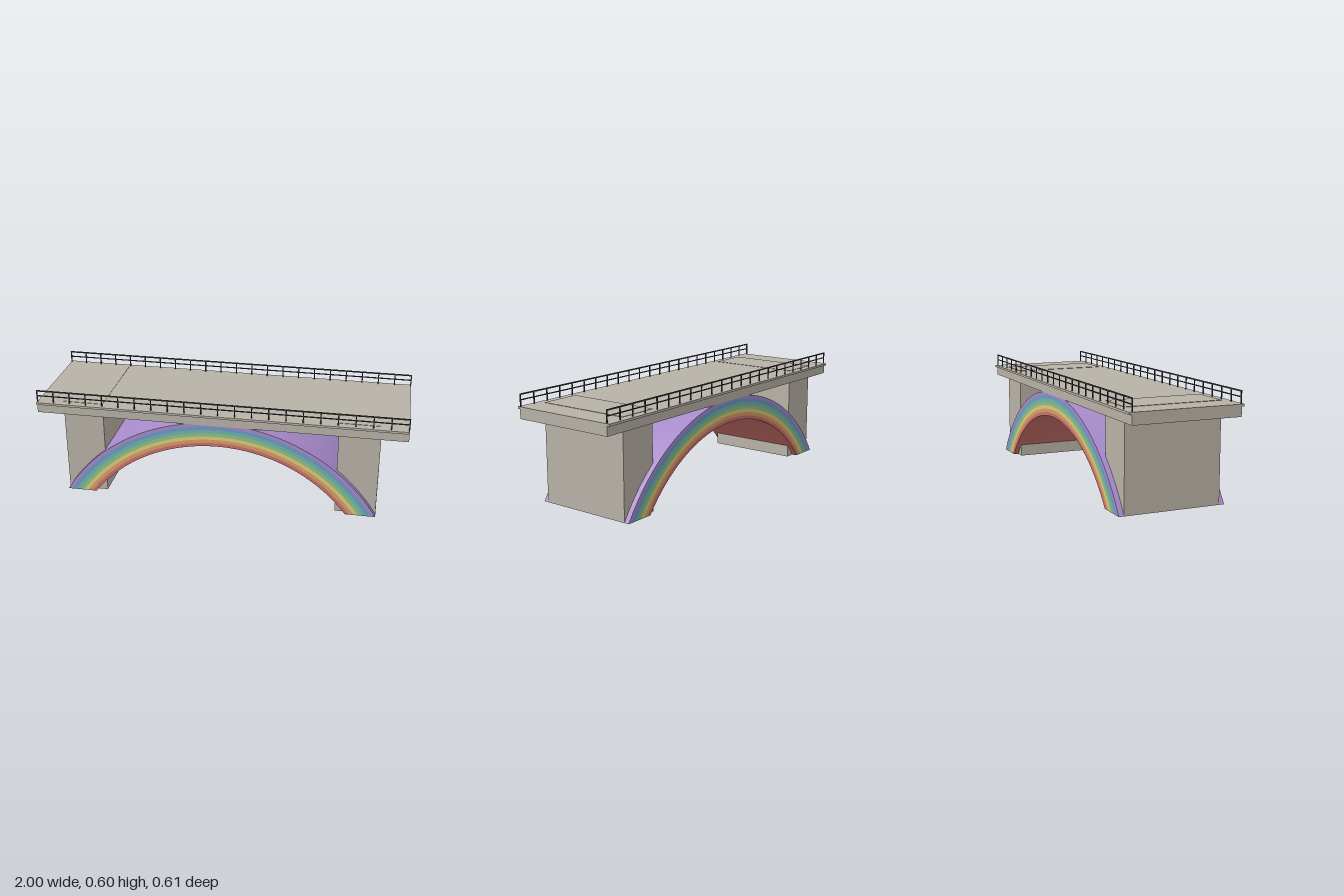
import * as THREE from 'three';

const material = (name, color) => {
  const m = new THREE.MeshStandardMaterial({ color });
  m.name = name;
  return m;
};

export function createModel() {
  const bridge = new THREE.Group();
  bridge.name = 'archBridge';
  const concrete = material('concrete', 0xb8b2a7);
  const railMetal = material('darkRailMetal', 0x3a3d40);

  const box = (parent, name, mat, size, pos) => {
    const mesh = new THREE.Mesh(new THREE.BoxGeometry(...size), mat);
    mesh.name = name;
    mesh.position.set(...pos);
    parent.add(mesh);
  };

  // Deck slab with a thin overhanging edge
  box(bridge, 'deckSlab', concrete, [2, 0.062, 0.582], [0, 0.497, 0]);
  box(bridge, 'deckEdge', concrete, [2, 0.012, 0.61], [0, 0.522, 0]);

  // Piers, rising just through the deck
  for (const side of [-1, 1]) {
    box(bridge, side > 0 ? 'leftPier' : 'rightPier', concrete, [0.22, 0.53, 0.524], [side * 0.749, 0.265, 0]);
  }

  // Concentric arch bands, innermost first, all cut off level at the ground
  const bands = [
    ['red', 0xc9706a], ['orange', 0xd99c68], ['yellow', 0xdccb78], ['green', 0x8fbf84],
    ['teal', 0x6cb5ac], ['blue', 0x7099c6], ['violet', 0xa78bca],
  ];
  const arch = new THREE.Group();
  arch.name = 'arch';
  const centreY = -0.53, innerR = 0.875, depth = 0.58;
  const step = (1.01 - innerR) / bands.length;
  bands.forEach(([name, color], i) => {
    const r0 = innerR + i * step, r1 = r0 + step;
    const a0 = Math.asin(-centreY / r0), a1 = Math.asin(-centreY / r1);
    const shape = new THREE.Shape();
    shape.absarc(0, centreY, r1, a1, Math.PI - a1, false);
    shape.absarc(0, centreY, r0, Math.PI - a0, a0, true);
    const geometry = new THREE.ExtrudeGeometry(shape, { depth, bevelEnabled: false, curveSegments: 48 });
    geometry.translate(0, 0, -depth / 2);
    const mesh = new THREE.Mesh(geometry, material(name, color));
    mesh.name = name + 'ArchBand';
    arch.add(mesh);
  });
  bridge.add(arch);

  // Railings: two rails and evenly spaced posts on each side
  const gaps = 22;
  for (const side of [-1, 1]) {
    const railing = new THREE.Group();
    railing.name = side > 0 ? 'frontRailing' : 'backRailing';
    railing.position.z = side * 0.288;
    box(railing, 'topRail', railMetal, [2, 0.007, 0.005], [0, 0.5915, 0]);
    box(railing, 'middleRail', railMetal, [2, 0.005, 0.005], [0, 0.563, 0]);
    for (let i = 0; i <= gaps; i++) {
      box(railing, 'railPost', railMetal, [0.006, 0.065, 0.005], [-0.997 + (1.994 * i) / gaps, 0.5595, 0]);
    }
    bridge.add(railing);
  }
  return bridge;
}
